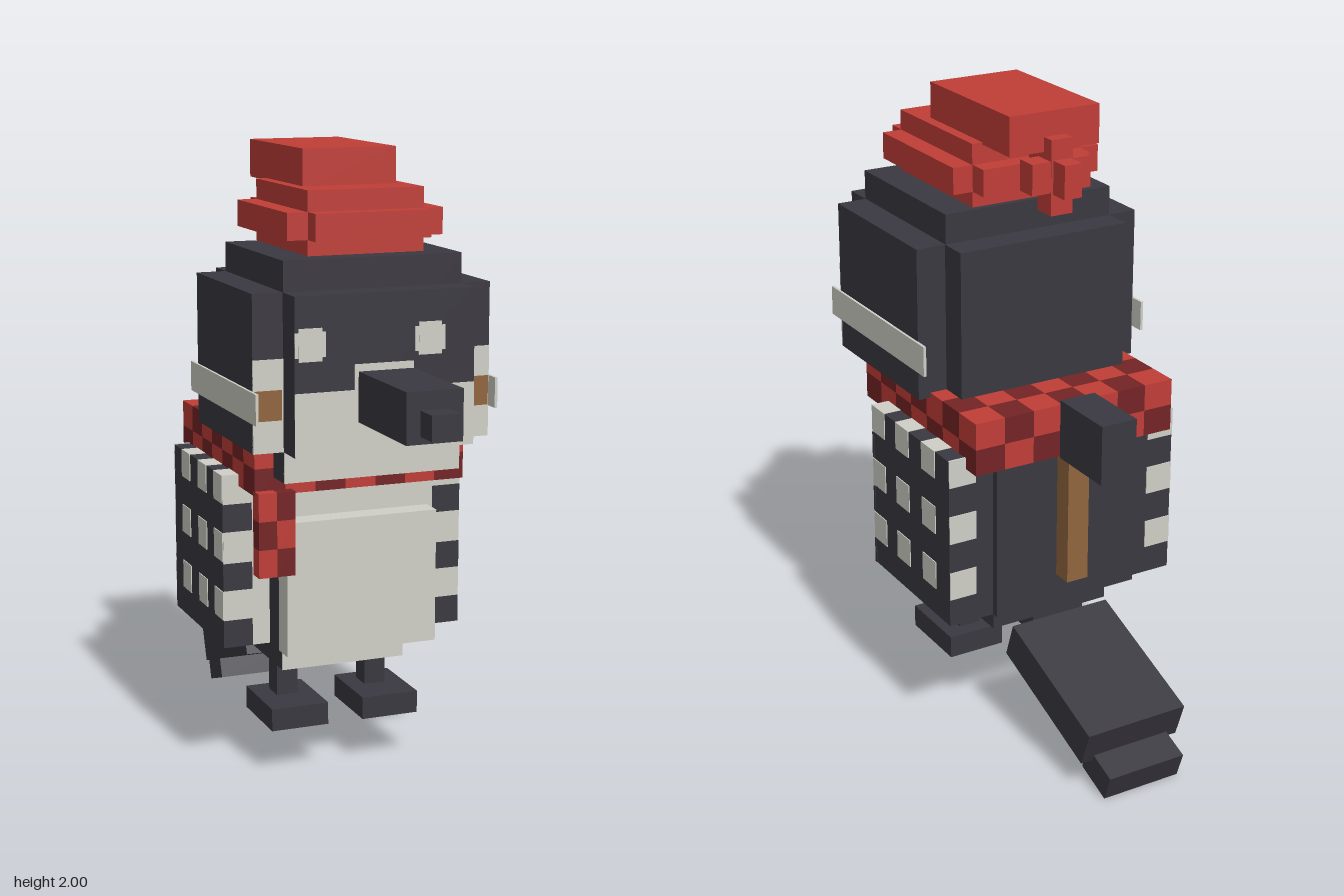
import * as THREE from 'three';

const flat = (name, color) => new THREE.MeshStandardMaterial({ name, color });

export function createModel() {
  const model = new THREE.Group();
  const dark = flat('charcoal', 0x3a3840), white = flat('offWhite', 0xd0d0c8);
  const red = flat('red', 0xc03d37), maroon = flat('maroon', 0x742325), brown = flat('brown', 0x90653e);

  // Box given by its limits on each axis
  const box = (name, mat, [x0, x1], [y0, y1], [z0, z1], seg = [1, 1, 1]) => {
    const geo = new THREE.BoxGeometry(x1 - x0, y1 - y0, z1 - z0, ...seg);
    const mesh = new THREE.Mesh(geo, mat);
    mesh.name = name;
    mesh.position.set((x0 + x1) / 2, (y0 + y1) / 2, (z0 + z1) / 2);
    model.add(mesh);
    return mesh;
  };
  const mid = (w) => [-w, w];
  const side = (s, a, b) => (s > 0 ? [a, b] : [-b, -a]);
  // Thin painted plate on a face at depth z, facing front (or back)
  const E = 0.003;
  const paint = (name, mat, x, y, z, t = E) => box(name, mat, x, y, [z - t, z + t]);

  // Box whose faces are a two-colour checker
  const checker = (name, x, y, z, seg) => {
    const mesh = box(name, [red, maroon], x, y, z, seg);
    const g = mesh.geometry, [sx, sy, sz] = seg;
    g.clearGroups();
    let i = 0;
    for (const [u, v] of [[sz, sy], [sz, sy], [sx, sz], [sx, sz], [sx, sy], [sx, sy]])
      for (let r = 0; r < v; r++)
        for (let c = 0; c < u; c++) g.addGroup(6 * i++, 6, (r + c) % 2);
  };

  // Hat with crossed brim and pompom
  box('hatTop', red, mid(0.153), [1.88, 2], [-0.315, 0.163]);
  box('hatCrown', red, mid(0.188), [1.692, 1.887], [-0.158, 0.297]);
  box('hatBrimSides', red, mid(0.252), [1.74, 1.823], [-0.157, 0.295]);
  box('hatBrimFrontBack', red, mid(0.186), [1.74, 1.823], [-0.22, 0.358]);
  box('pompomUpright', red, mid(0.037), [1.695, 1.925], [-0.357, -0.282]);
  box('pompomLength', red, mid(0.03), [1.76, 1.863], [-0.42, -0.22]);
  box('pompomWidth', red, mid(0.1), [1.765, 1.86], [-0.355, -0.285]);

  // Head
  box('headWide', dark, mid(0.385), [1.117, 1.597], [-0.17, 0.355]);
  box('headTall', dark, mid(0.288), [1.02, 1.69], [-0.172, 0.357]);
  box('headDeep', dark, mid(0.289), [1.117, 1.597], [-0.265, 0.453]);
  paint('faceLower', white, mid(0.289), [1.117, 1.31], 0.453);
  paint('faceBridge', white, [-0.1, 0.09], [1.31, 1.387], 0.453);
  paint('chin', white, mid(0.288), [1.02, 1.117], 0.357);
  for (const x of [-0.24, 0.143]) {
    paint('eye', white, [x - 0.049, x + 0.049], [1.415, 1.49], 0.453);
    paint('eyeHeight', white, [x - 0.037, x + 0.037], [1.403, 1.502], 0.453, 0.0035);
  }
  box('beak', dark, mid(0.088), [1.212, 1.365], [0.45, 0.81]);
  box('beakTip', dark, mid(0.045), [1.235, 1.31], [0.8, 0.888]);

  for (const s of [1, -1]) {
    // Cheeks and side strips
    paint('cheek', white, side(s, 0.289, 0.385), [1.117, 1.4], 0.355);
    paint('cheekSpot', brown, side(s, 0.295, 0.382), [1.215, 1.307], 0.355, 0.005);
    box('sideStrip', white, side(s, 0.384, 0.393), [1.212, 1.307], [-0.22, 0.405]);
  }

  // Scarf
  checker('scarf', [-0.35, 0.345], [0.965, 1.133], [-0.45, 0.265], [7, 2, 7]);
  checker('scarfEnd', [-0.35, -0.232], [0.715, 0.98], [0.25, 0.302], [2, 3, 1]);

  // Body
  box('bodyWide', dark, mid(0.402), [0.445, 1], [-0.385, 0.112]);
  paint('bodyFront', white, mid(0.402), [0.445, 1], 0.112);
  box('bodyDeep', dark, mid(0.25), [0.445, 0.98], [-0.41, 0.2]);
  paint('chest', white, mid(0.25), [0.445, 0.98], 0.2);
  box('belly', white, mid(0.25), [0.445, 0.873], [0.2, 0.277]);
  box('hips', dark, mid(0.208), [0.348, 0.45], [-0.313, 0.113]);
  paint('hipsFront', white, mid(0.208), [0.348, 0.445], 0.113);

  // Spotted flanks: dark squares in front, white squares on the side, top and back
  for (const s of [1, -1]) {
    for (const y of [0.445, 0.63, 0.82])
      paint('flankFrontSquare', dark, side(s, 0.308, 0.404), [y, y + 0.088], 0.112, 0.005);
    for (const y of [0.535, 0.725, 0.912]) {
      const top = y > 0.9 ? 1.002 : y + 0.092;
      for (const [z0, z1] of [[0.03, 0.114], [-0.13, -0.045], [-0.3, -0.215]])
        box('flankSpot', white, side(s, 0.31, 0.405), [y, top], [z0, z1]);
      paint('flankBackSquare', white, side(s, 0.31, 0.402), [y, top], -0.385);
    }
    // Legs and feet
    box('leg', dark, side(s, 0.118, 0.19), [0.22, 0.36], [-0.063, 0.012]);
    box('foot', dark, side(s, 0.06, 0.252), [0.155, 0.228], [-0.113, 0.137]);
  }

  // Mallet carried on the back
  box('malletHandle', brown, mid(0.037), [0.54, 1.1], [-0.475, -0.4]);
  box('malletHead', dark, mid(0.06), [0.965, 1.153], [-0.69, -0.46]);

  // Sloping tail
  const tail = box('tail', dark, mid(0.173), [0.176, 0.3], [-0.819, -0.341]);
  const tip = box('tailTip', dark, mid(0.133), [0.022, 0.112], [-0.874, -0.74]);
  for (const t of [tail, tip]) t.rotation.x = -0.34;

  return model;
}
